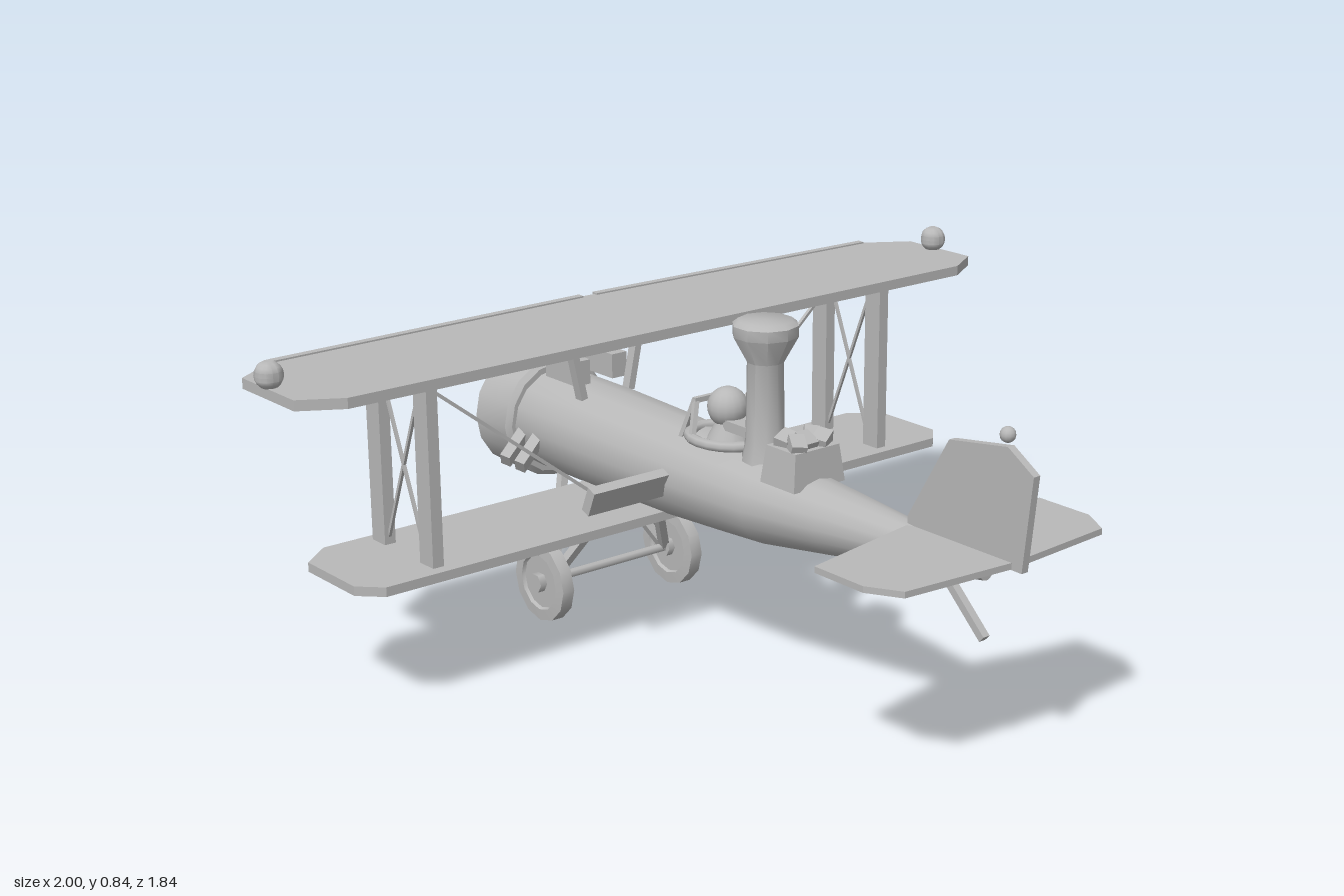
import * as THREE from 'three';
import { toCreasedNormals } from 'three/addons/utils/BufferGeometryUtils.js';

export function createModel() {
  const model = new THREE.Group();
  model.name = 'biplane';
  const grey = new THREE.MeshStandardMaterial({ color: 0xb8b8b8 });
  grey.name = 'plain grey';

  const add = (name, geo, x = 0, y = 0, z = 0) => {
    const m = new THREE.Mesh(geo, grey);
    m.name = name;
    m.position.set(x, y, z);
    model.add(m);
    return m;
  };
  const box = (name, w, h, d, x, y, z) => add(name, new THREE.BoxGeometry(w, h, d), x, y, z);
  const crease = (geo, angle = 0.7) => toCreasedNormals(geo, angle);

  // Straight bar between two points; w across, d along the flight direction
  const bar = (name, a, b, w, d = w) => {
    const p = new THREE.Vector3(...a), q = new THREE.Vector3(...b);
    const m = add(name, new THREE.BoxGeometry(w, p.distanceTo(q), d));
    m.position.copy(p).add(q).multiplyScalar(0.5);
    m.quaternion.setFromUnitVectors(new THREE.Vector3(0, 1, 0), q.sub(p).normalize());
    return m;
  };

  // Flat horizontal plate from its right half outline [x, z], mirrored
  const plate = (name, half, y, thick) => {
    const pts = [...half, ...half.slice().reverse().map(([x, z]) => [-x, z])];
    const shape = new THREE.Shape(pts.map(([x, z]) => new THREE.Vector2(x, -z)));
    const geo = new THREE.ExtrudeGeometry(shape, { depth: thick, bevelEnabled: false });
    return add(name, geo.rotateX(-Math.PI / 2), 0, y, 0);
  };

  // Fuselage rings from nose to tail: z, centre y, half width, half height
  const rings = [
    [-0.70, 0.425, 0.13, 0.125], [-0.45, 0.425, 0.13, 0.124], [-0.2, 0.424, 0.125, 0.118],
    [0, 0.425, 0.118, 0.107], [0.14, 0.425, 0.11, 0.098], [0.35, 0.434, 0.082, 0.075],
    [0.57, 0.444, 0.052, 0.05], [0.79, 0.452, 0.02, 0.024],
  ];
  const body = new THREE.CylinderGeometry(1, 1, 1, 16, rings.length - 1);
  body.rotateY(Math.PI);
  const pos = body.attributes.position;
  for (let i = 0; i < pos.count; i++) {
    const [z, cy, rx, ry] = rings[Math.round((0.5 - pos.getY(i)) * (rings.length - 1))];
    pos.setXYZ(i, pos.getX(i) * rx, cy + pos.getZ(i) * ry, z);
  }
  add('fuselage', crease(body));

  // Flat-faced engine cowling
  const cowl = new THREE.LatheGeometry([[0, 0], [0.14, 0], [0.153, 0.012], [0.153, 0.135], [0.14, 0.15], [0, 0.15]]
    .map(([r, h]) => new THREE.Vector2(r, h)), 16).rotateX(-Math.PI / 2);
  add('cowling', crease(cowl), 0, 0.425, -0.69);

  // Wings and tailplane
  plate('upperWing', [[0, -0.56], [0.87, -0.54], [0.98, -0.47], [0.98, -0.257], [0.885, -0.2], [0, -0.2]], 0.735, 0.024);
  plate('lowerWing', [[0, -0.5], [0.79, -0.5], [0.865, -0.44], [0.865, -0.25], [0.815, -0.2], [0, -0.2]], 0.299, 0.022);
  plate('tailplane', [[0.02, 0.57], [0.325, 0.627], [0.325, 0.77], [0.283, 0.845], [0, 0.868]], 0.477, 0.014);

  // Fin with rudder and ball on top
  const fin = new THREE.Shape([[0.565, 0.48], [0.895, 0.475], [0.918, 0.685], [0.845, 0.73], [0.68, 0.705], [0.565, 0.51]]
    .map(([z, y]) => new THREE.Vector2(-z, y)));
  add('fin', new THREE.ExtrudeGeometry(fin, { depth: 0.018, bevelEnabled: false }).rotateY(Math.PI / 2), -0.009);
  add('finBall', new THREE.SphereGeometry(0.017, 12, 8), 0, 0.752, 0.835);
  bar('tailSkid', [0, 0.30, 0.79], [0, 0.435, 0.645], 0.018);

  for (const s of [-1, 1]) {
    // Leading edge strip and wing tip lamp
    bar('leadingEdgeStrip', [s * 0.02, 0.752, -0.558], [s * 0.87, 0.752, -0.54], 0.022, 0.018);
    const lamp = new THREE.SphereGeometry(0.032, 14, 10);
    const lp = lamp.attributes.position;
    for (let i = 0; i < lp.count; i++) lp.setZ(i, Math.max(lp.getZ(i), -0.022));
    add('wingTipLamp', crease(lamp), s * 0.968, 0.785, -0.375);

    // Interplane struts and crossed wires
    for (const z of [-0.255, -0.45]) box('wingStrut', 0.028, 0.425, 0.052, s * 0.662, 0.528, z);
    bar('crossWire', [s * 0.662, 0.735, -0.27], [s * 0.662, 0.32, -0.435], 0.007);
    bar('crossWire', [s * 0.662, 0.735, -0.435], [s * 0.662, 0.32, -0.27], 0.007);
    bar('bracingWire', [s * 0.645, 0.735, -0.39], [s * 0.115, 0.32, -0.345], 0.008);
    bar('cabaneStrut', [s * 0.115, 0.74, -0.495], [s * 0.07, 0.53, -0.495], 0.018, 0.025);

    // Guns
    box('gunBody', 0.044, 0.06, 0.12, s * 0.055, 0.587, -0.57);
    box('gunJacket', 0.032, 0.028, 0.22, s * 0.055, 0.594, -0.73);
    add('gunBarrel', new THREE.CylinderGeometry(0.014, 0.014, 0.1, 8).rotateX(Math.PI / 2), s * 0.055, 0.594, -0.87);

    // Exhaust stubs
    for (const z of [-0.62, -0.68]) bar('exhaustStub', [s * 0.1, 0.42, z], [s * 0.19, 0.36, z + 0.03], 0.036, 0.026);

    // Tilted side fin beside the cockpit
    box('sideVane', 0.24, 0.063, 0.026, s * 0.208, 0.425, -0.127).rotation.x = 0.4;

    // Wheel with rim, recessed disc and hub
    const wheel = new THREE.LatheGeometry([[0, -0.01], [0.066, -0.01], [0.07, -0.018], [0.098, -0.016], [0.098, 0.016],
      [0.07, 0.018], [0.066, 0.01], [0, 0.01]].map(([r, h]) => new THREE.Vector2(r, h)), 12).rotateZ(Math.PI / 2);
    add('wheel', crease(wheel, 0.6), s * 0.196, 0.098, -0.49);
    add('wheelHub', new THREE.CylinderGeometry(0.024, 0.024, 0.056, 6).rotateZ(Math.PI / 2), s * 0.196, 0.098, -0.49);
    for (const z of [-0.375, -0.605]) bar('gearLeg', [s * 0.17, 0.1, -0.49], [s * 0.05, 0.325, z], 0.02);

    // Windscreen frame
    bar('windscreenPost', [s * 0.055, 0.515, -0.135], [s * 0.04, 0.615, -0.1], 0.012);
    bar('windscreenSide', [s * 0.04, 0.61, -0.1], [s * 0.085, 0.53, -0.06], 0.012);
  }
  box('windscreenTop', 0.09, 0.012, 0.012, 0, 0.613, -0.1);
  add('axle', new THREE.CylinderGeometry(0.011, 0.011, 0.44, 8).rotateZ(Math.PI / 2), 0, 0.098, -0.49);

  // Cockpit rim, pilot and headrest
  const rim = add('cockpitRim', new THREE.TorusGeometry(0.09, 0.014, 8, 20).rotateX(Math.PI / 2), 0, 0.537, -0.035);
  rim.scale.set(0.92, 0.9, 1.05);
  add('pilotHead', new THREE.SphereGeometry(0.047, 16, 12), 0, 0.605, -0.035);
  add('pilotShoulders', crease(new THREE.CylinderGeometry(0.03, 0.06, 0.06, 12)), 0, 0.545, -0.03);
  box('headrest', 0.06, 0.024, 0.09, 0, 0.572, 0.03);

  // Flared chimney with recessed mouth
  const chimney = new THREE.LatheGeometry([[0.058, 0], [0.045, 0.06], [0.042, 0.24], [0.075, 0.3], [0.075, 0.325], [0.062, 0.335], [0, 0.335]]
    .map(([r, h]) => new THREE.Vector2(r, h)), 10);
  add('chimney', crease(chimney), 0, 0.5, 0.095);

  // Coal box, wider at the foot, with lumps
  const bin = new THREE.CylinderGeometry(0.09, 0.105, 0.085, 4).rotateY(Math.PI / 4).toNonIndexed();
  bin.computeVertexNormals();
  add('coalBox', bin, 0, 0.537, 0.222).scale.z = 0.76;
  [[-0.03, 0.2, 0.3], [0.03, 0.215, 0.9], [-0.005, 0.235, 1.6], [0.035, 0.245, 0.5], [-0.038, 0.245, 1.1]].forEach(([x, z, r]) => {
    box('coalLump', 0.045, 0.035, 0.035, x, 0.587, z).rotation.set(0.2, r, 0.25);
  });
  return model;
}
